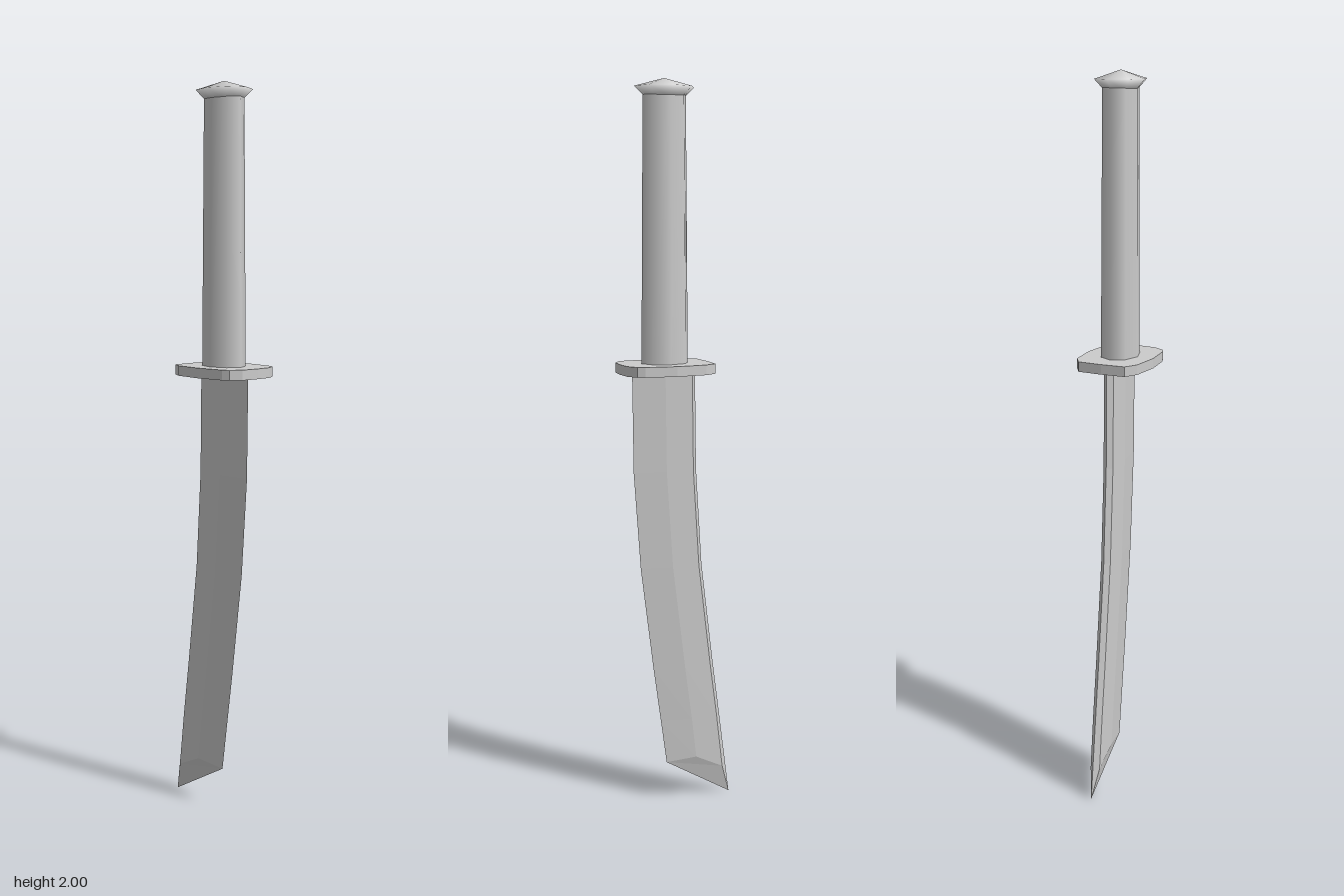
import * as THREE from 'three';

const smooth = new THREE.MeshStandardMaterial({ color: 0xcccccc });
const faceted = new THREE.MeshStandardMaterial({ color: 0xcccccc, flatShading: true });
const CENTRE_Z = 0.034;

function part(name, geometry, material) {
  const mesh = new THREE.Mesh(geometry, material);
  mesh.name = name;
  return mesh;
}

// Curved single-edged blade: six-sided cross-sections from guard to tip
function bladeGeometry() {
  const t = 0.014;
  // y, cutting edge z, spine z
  const stations = [
    [1.245, 0.127, -0.053], [0.96, 0.124, -0.057], [0.69, 0.105, -0.074],
    [0.4, 0.069, -0.109], [0.24, 0.047, -0.13],
  ];
  const section = (edge, ridge, shoulder, spine) => [
    [0, ...edge], [t, ...ridge], [t, ...shoulder],
    [0, ...spine], [-t, ...shoulder], [-t, ...ridge],
  ];
  const rings = stations.map(([y, f, b]) =>
    section([y, f], [y, (f + b) / 2], [y, b + 0.013], [y, b]));
  // Slanted tip
  rings.push(section([0.115, 0.03], [0.125, -0.055], [0.085, -0.135], [0, -0.161]));

  const index = [];
  for (let i = 0; i < rings.length - 1; i++) {
    for (let j = 0; j < 6; j++) {
      const a = i * 6 + j, b = i * 6 + (j + 1) % 6, c = b + 6, d = a + 6;
      index.push(a, d, c, a, c, b);
    }
  }
  // Bevels that close the tip, and the end inside the guard
  const last = (rings.length - 1) * 6;
  for (let j = 1; j < 5; j++) {
    index.push(last, last + j + 1, last + j);
    index.push(0, j, j + 1);
  }
  const geometry = new THREE.BufferGeometry();
  geometry.setAttribute('position', new THREE.Float32BufferAttribute(rings.flat(2), 3));
  geometry.setIndex(index);
  geometry.computeVertexNormals();
  return geometry;
}

// Flat rounded guard plate, outline given as half (x, z) and mirrored
function guardGeometry() {
  const half = [
    [0, -0.089], [0.067, -0.086], [0.088, -0.052], [0.097, 0.033],
    [0.088, 0.119], [0.08, 0.138], [0.05, 0.157], [0, 0.161],
  ];
  const outline = [...half, ...half.slice(1, -1).reverse().map(([x, z]) => [-x, z])];
  const shape = new THREE.Shape(outline.map(([x, z]) => new THREE.Vector2(x, -z)));
  return new THREE.ExtrudeGeometry(shape, { depth: 0.027, bevelEnabled: false })
    .rotateX(-Math.PI / 2).translate(0, 1.231, 0);
}

export function createModel() {
  const model = new THREE.Group();
  model.name = 'sword';

  model.add(part('blade', bladeGeometry(), faceted));
  model.add(part('guard', guardGeometry(), faceted));

  // Oval grip, slightly narrower at the top
  const grip = new THREE.CylinderGeometry(0.046, 0.051, 0.71, 8)
    .scale(1, 1, 1.3).translate(0, 1.605, CENTRE_Z);
  model.add(part('grip', grip, smooth));

  // Flared pommel with a low pointed cap
  const profile = [[0, 1.95], [0.042, 1.95], [0.067, 1.978], [0, 2]]
    .map(([r, y]) => new THREE.Vector2(r, y));
  const pommel = new THREE.LatheGeometry(profile, 8)
    .scale(1, 1, 1.24).translate(0, 0, CENTRE_Z);
  model.add(part('pommel', pommel, smooth));

  return model;
}
